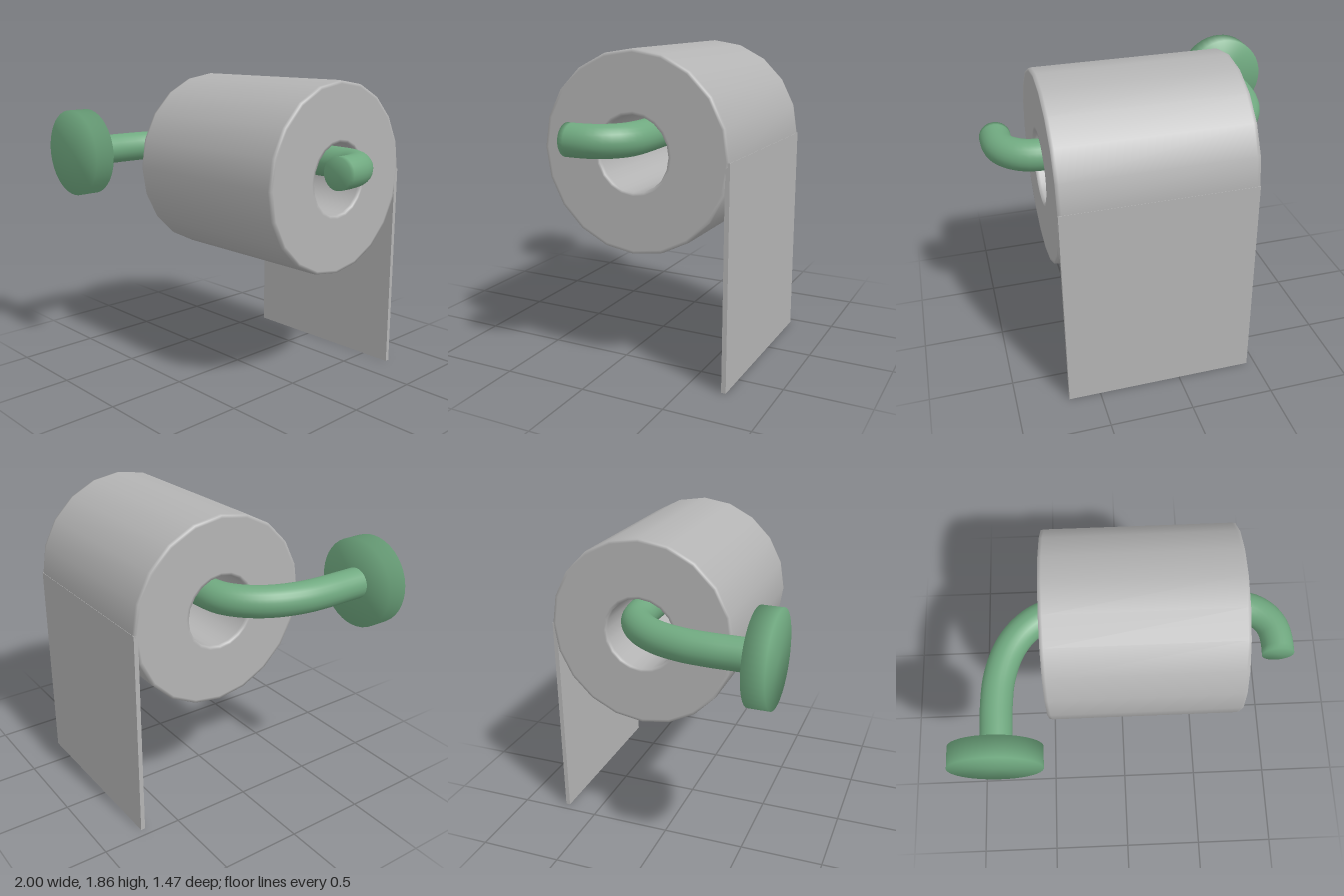
import * as THREE from 'three';
import { mergeVertices } from 'three/addons/utils/BufferGeometryUtils.js';

// Weld all corners so that shading flows softly over the edges
function soften(geometry) {
  geometry.deleteAttribute('normal');
  geometry.deleteAttribute('uv');
  const welded = mergeVertices(geometry, 1e-4);
  welded.computeVertexNormals();
  return welded;
}

// Tube along a curve, closed with a fan at its far end
function cappedTube(curve, segments, radius, sides) {
  const tube = new THREE.TubeGeometry(curve, segments, radius, sides);
  const positions = Array.from(tube.attributes.position.array);
  const index = Array.from(tube.index.array);
  const centre = positions.length / 3;
  positions.push(...curve.getPoint(1).toArray());
  const ring = segments * (sides + 1);
  for (let i = 0; i < sides; i++) index.push(ring + i + 1, ring + i, centre);
  const geometry = new THREE.BufferGeometry();
  geometry.setAttribute('position', new THREE.Float32BufferAttribute(positions, 3));
  geometry.setIndex(index);
  return soften(geometry);
}

export function createModel() {
  const model = new THREE.Group();
  const paper = new THREE.MeshStandardMaterial({ color: 0xb4b4b4 });
  paper.name = 'grey paper';
  const metal = new THREE.MeshStandardMaterial({ color: 0x70a980 });
  metal.name = 'green metal';

  const add = (name, geometry, material, x, y, z) => {
    const mesh = new THREE.Mesh(geometry, material);
    mesh.name = name;
    mesh.position.set(x, y, z);
    model.add(mesh);
  };

  // Paper roll: hollow 20-sided ring with slim edge bands
  const R = 0.57, r = 0.215, h = 0.57, e = 0.02;
  const profile = [
    [r, 0], [r, -h + e], [r + 0.004, -h], [r + e, -h],
    [R - e, -h], [R - 0.004, -h], [R, -h + e],
    [R, h - e], [R - 0.004, h], [R - e, h],
    [r + e, h], [r + 0.004, h], [r, h - e], [r, 0],
  ].map(([x, y]) => new THREE.Vector2(x, y));
  const roll = new THREE.LatheGeometry(profile, 20);
  roll.rotateZ(-Math.PI / 2);
  add('paperRoll', roll, paper, 0.12, 1.29, -0.16);

  // Loose sheet hanging down the back
  add('hangingSheet', new THREE.BoxGeometry(1.14, 1.29, 0.027), paper, 0.12, 0.645, -0.7185);

  // Bent holder arm, running through the roll and hooked at the tip
  const path = new THREE.CatmullRomCurve3([
    [-0.73, 0.64], [-0.73, 0.5], [-0.73, 0.36], [-0.715, 0.2], [-0.66, 0.03],
    [-0.575, -0.09], [-0.47, -0.165], [-0.35, -0.19], [0, -0.19], [0.4, -0.19], [0.68, -0.19],
    [0.77, -0.172], [0.845, -0.12], [0.89, -0.05], [0.905, 0.03], [0.905, 0.12],
  ].map(([x, z]) => new THREE.Vector3(x, 0, z)));
  add('holderArm', cappedTube(path, 72, 0.093, 24), metal, 0, 1.383, 0);

  // Round mounting plate
  const plate = new THREE.CylinderGeometry(0.268, 0.268, 0.124, 40);
  plate.rotateX(Math.PI / 2);
  add('mountingPlate', soften(plate), metal, -0.732, 1.383, 0.672);

  return model;
}
